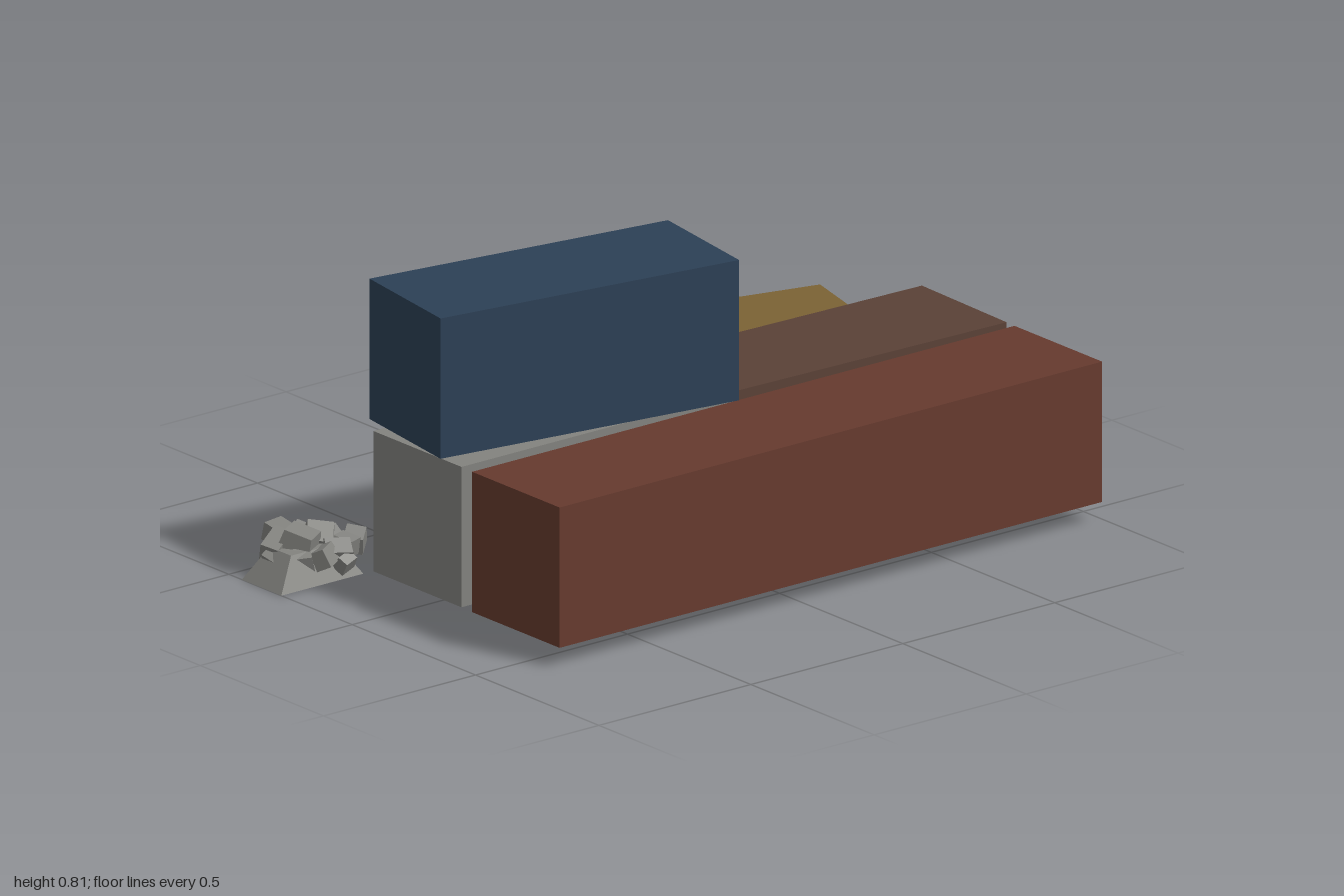
import * as THREE from 'three';

const paint = (name, color) => {
  const m = new THREE.MeshStandardMaterial({ color, side: THREE.DoubleSide });
  m.name = name;
  return m;
};

// Thin shell box with one face left out (0..5 = +x, -x, +y, -y, +z, -z)
function openBox(w, h, d, openFace) {
  const g = new THREE.BoxGeometry(w, h, d);
  const index = Array.from(g.index.array);
  index.splice(openFace * 6, 6);
  g.setIndex(index);
  g.clearGroups();
  return g;
}

// Box whose top is shrunk to make a broken, tapered lump
function lump(w, h, d, taper) {
  const g = new THREE.BoxGeometry(w, h, d);
  const p = g.attributes.position;
  for (let i = 0; i < p.count; i++) {
    if (p.getY(i) > 0) {
      p.setX(i, p.getX(i) * taper);
      p.setZ(i, p.getZ(i) * taper);
    }
  }
  g.computeVertexNormals();
  return g;
}

export function createModel() {
  const model = new THREE.Group();
  model.name = 'containerStack';
  const red = paint('rust red', 0x663a2e);
  const brown = paint('brown', 0x5a4136);
  const blue = paint('navy blue', 0x2c4055);
  const ochre = paint('ochre', 0x7b6234);
  const grey = paint('grey', 0x82827e);

  // Containers: name, material, size, centre, turn, open face
  const containers = [
    ['longContainer', red, [1.785, 0.38, 0.355], [0.0925, 0.245, 0.417], 0, 3],
    ['brownContainer', brown, [0.89, 0.38, 0.356], [0.547, 0.245, 0.015], -0.028, 3],
    ['greyContainer', grey, [0.895, 0.38, 0.357], [-0.35, 0.245, 0.015], 0, 3],
    ['upperContainer', blue, [0.886, 0.38, 0.357], [-0.335, 0.625, 0], -0.148, 3],
    ['tippedContainer', ochre, [0.886, 0.356, 0.378], [0.3675, 0.233, -0.301], -0.25, 4],
  ];
  for (const [name, mat, size, pos, turn, open] of containers) {
    const mesh = new THREE.Mesh(openBox(...size, open), mat);
    mesh.name = name;
    mesh.position.set(...pos);
    mesh.rotation.y = turn;
    model.add(mesh);
  }

  // Rubble heap: tapered base with broken blocks on it
  const rubble = new THREE.Group();
  rubble.name = 'rubbleHeap';
  const base = new THREE.Mesh(lump(0.27, 0.085, 0.16, 0.55), grey);
  base.name = 'rubbleBase';
  base.position.set(-0.865, 0.0425, -0.367);
  rubble.add(base);

  // Blocks: centre, size, rotation
  const blocks = [
    [[-0.865, 0.095, -0.46], [0.065, 0.05, 0.07], [0.15, 0, 0.1]],
    [[-0.82, 0.085, -0.435], [0.06, 0.05, 0.05], [0.3, 0.5, 0.2]],
    [[-0.91, 0.085, -0.415], [0.09, 0.05, 0.06], [0.2, 0.4, 0.4]],
    [[-0.87, 0.1, -0.37], [0.08, 0.055, 0.09], [0.3, 0.5, -0.1]],
    [[-0.8, 0.09, -0.38], [0.08, 0.05, 0.08], [0.2, 0.9, 0.4]],
    [[-0.75, 0.075, -0.41], [0.07, 0.045, 0.06], [-0.3, -0.4, 0.3]],
    [[-0.74, 0.065, -0.35], [0.09, 0.045, 0.06], [0.3, 0.5, -0.3]],
    [[-0.685, 0.06, -0.38], [0.065, 0.045, 0.06], [0.2, 0.75, 0.2]],
    [[-0.79, 0.065, -0.32], [0.08, 0.05, 0.06], [0.6, -0.4, 0.2]],
    [[-0.84, 0.065, -0.31], [0.07, 0.05, 0.05], [-0.5, 0.4, 0.3]],
    [[-0.79, 0.045, -0.285], [0.05, 0.04, 0.035], [0.6, 0.3, 0.1]],
    [[-0.9, 0.06, -0.335], [0.07, 0.045, 0.05], [0.4, -0.5, 0.3]],
    [[-0.86, 0.055, -0.465], [0.06, 0.035, 0.04], [-0.4, 0.1, 0.2]],
    [[-0.93, 0.055, -0.39], [0.05, 0.05, 0.07], [0.3, 0.2, 0.6]],
  ];
  blocks.forEach(([pos, size, rot]) => {
    const block = new THREE.Mesh(lump(...size, 0.85), grey);
    block.name = 'rubbleBlock';
    block.position.set(...pos);
    block.rotation.set(...rot);
    rubble.add(block);
  });
  model.add(rubble);
  return model;
}
